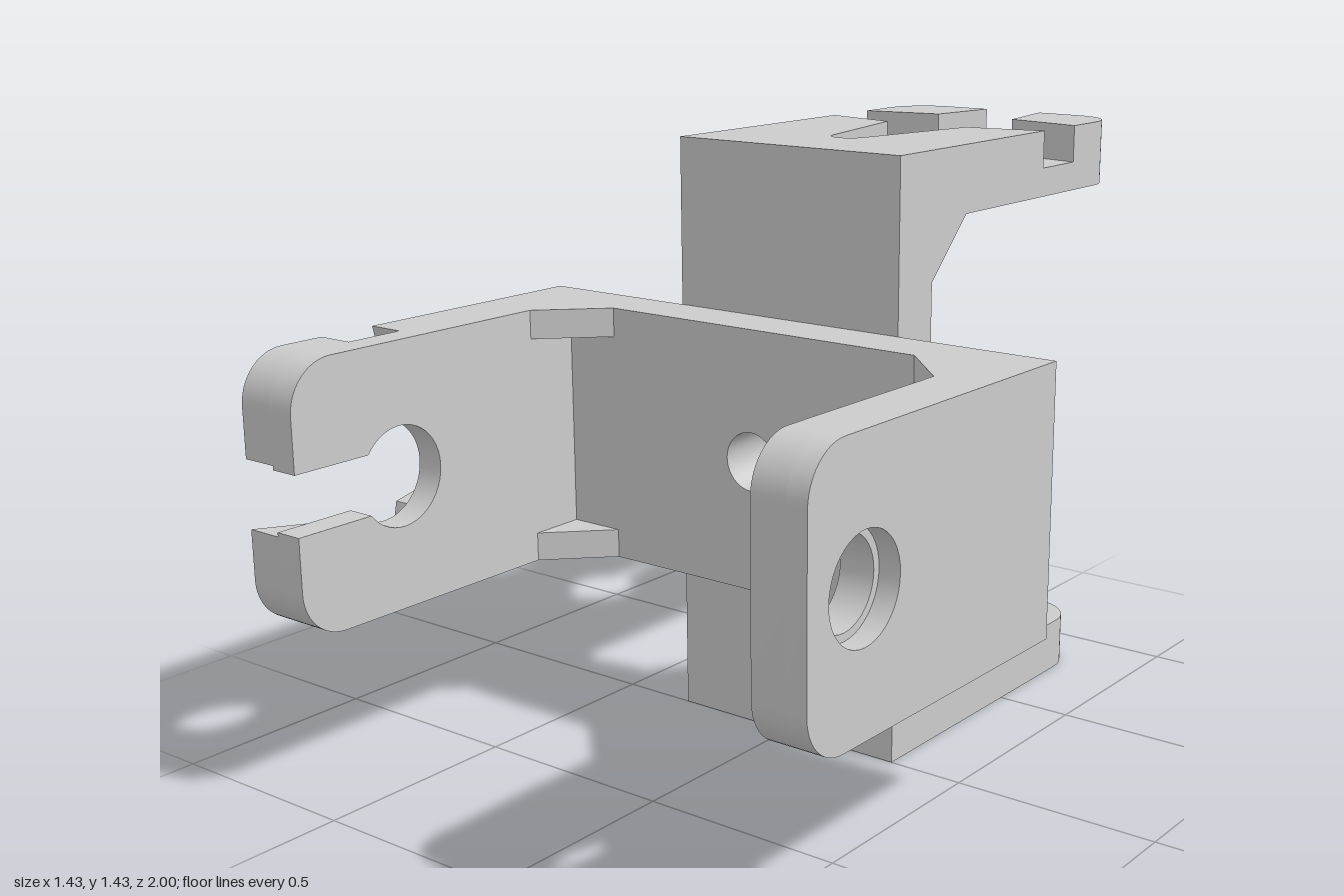
import * as THREE from 'three';
import { toCreasedNormals } from 'three/addons/utils/BufferGeometryUtils.js';

const H = 0.3125;      // half width of a bracket
const S = 0.715;       // half span of a bracket
const T = 0.135;       // web thickness
const R = 0.115;       // arm corner radius
const HOLE_Z = 0.7;    // pivot hole distance from the web face
const material = new THREE.MeshStandardMaterial({ color: 0xcccccc });

// Points along a circular arc
function arc(cx, cy, r, a0, a1, n = 12) {
  return Array.from({ length: n + 1 }, (_, i) => {
    const a = a0 + ((a1 - a0) * i) / n;
    return [cx + r * Math.cos(a), cy + r * Math.sin(a)];
  });
}

function extrude(points, depth, hole) {
  const shape = new THREE.Shape(points.map(([x, y]) => new THREE.Vector2(x, y)));
  if (hole) {
    const path = new THREE.Path();
    path.absarc(hole.x, hole.y, hole.r, 0, Math.PI * 2, true);
    shape.holes.push(path);
  }
  return new THREE.ExtrudeGeometry(shape, { depth, bevelEnabled: false, curveSegments: 20 });
}

function mesh(name, geometry) {
  const m = new THREE.Mesh(toCreasedNormals(geometry, 0.5), material);
  m.name = name;
  return m;
}

// Horizontal layer: plan points (x, z) filling yLow..yHigh
function layer(name, points, yLow, yHigh, hole) {
  const g = extrude(points, yHigh - yLow, hole);
  g.rotateX(Math.PI / 2).translate(0, yHigh, 0);
  return mesh(name, g);
}

// U-shaped bracket: web against z = 0, arms reaching +z, slotted arm on top
function createBracket(name) {
  const group = new THREE.Group();
  group.name = name;

  // Web with the central bolt hole
  group.add(mesh('web', extrude(
    [[-H, -S], [H, -S], [H, S], [-H, S]], T, { x: 0, y: 0, r: 0.07 })));

  // Slotted arm: lower layer with keyhole opening
  const innerTop = 0.555, recess = 0.625, half = 0.635;
  group.add(layer('slottedArm', [
    [-H, T], [H, T],
    ...arc(H - R, 1 - R, R, 0, Math.PI / 2),
    [0.07, 1],
    ...arc(0, HOLE_Z, 0.118, Math.PI / 2 - half, half - Math.PI * 1.5, 36),
    [-0.07, 1],
    ...arc(R - H, 1 - R, R, Math.PI / 2, Math.PI),
  ], innerTop, recess));

  // Raised pad with the V-shaped recess cut into it
  group.add(layer('raisedPad', [
    [-H, T], [H, T], [H, 0.624], [0.116, 0.58],
    ...arc(0, 0.25, 0.044, -0.1, 0.1 - Math.PI),
    [-0.116, 0.58], [-H, 0.624],
  ], recess, S));

  // Raised tips on both sides of the slot
  for (const side of [-1, 1]) {
    const tip = [
      [0.08, 1], ...arc(H - R, 1 - R, R, Math.PI / 2, 0), [H, 0.772], [0.111, 0.81],
    ].map(([x, z]) => [side * x, z]);
    group.add(layer(side > 0 ? 'leftTip' : 'rightTip', tip, recess, S));
  }

  // Plain arm: stepped hole, wider on the outside
  const innerBottom = -0.585, step = -S + 0.05, end = 0.885;
  const plain = [
    [-H, T], [H, T],
    ...arc(H - R, end - R, R, 0, Math.PI / 2),
    ...arc(R - H, end - R, R, Math.PI / 2, Math.PI),
  ];
  group.add(layer('plainArm', plain, step, innerBottom, { x: 0, y: HOLE_Z, r: 0.1 }));
  group.add(layer('plainArmOuter', plain, -S, step, { x: 0, y: HOLE_Z, r: 0.118 }));

  // Triangular gussets in the four inner corners
  const thick = 0.07, leg = 0.14;
  for (const [y, dir] of [[innerTop, -1], [innerBottom, 1]]) {
    for (const x of [H, thick - H]) {
      const g = extrude([[T, y], [T + leg, y], [T, y + dir * leg]], thick);
      g.rotateY(-Math.PI / 2).translate(x, 0, 0);
      group.add(mesh('gusset', g));
    }
  }
  return group;
}

export function createModel() {
  const model = new THREE.Group();
  model.name = 'crossBracket';

  // Back bracket stands upright, front bracket lies on its side
  const back = createBracket('backBracket');
  back.rotation.y = Math.PI;
  const front = createBracket('frontBracket');
  front.rotation.z = Math.PI / 2;
  for (const b of [back, front]) {
    b.position.y = S;
    model.add(b);
  }
  return model;
}
